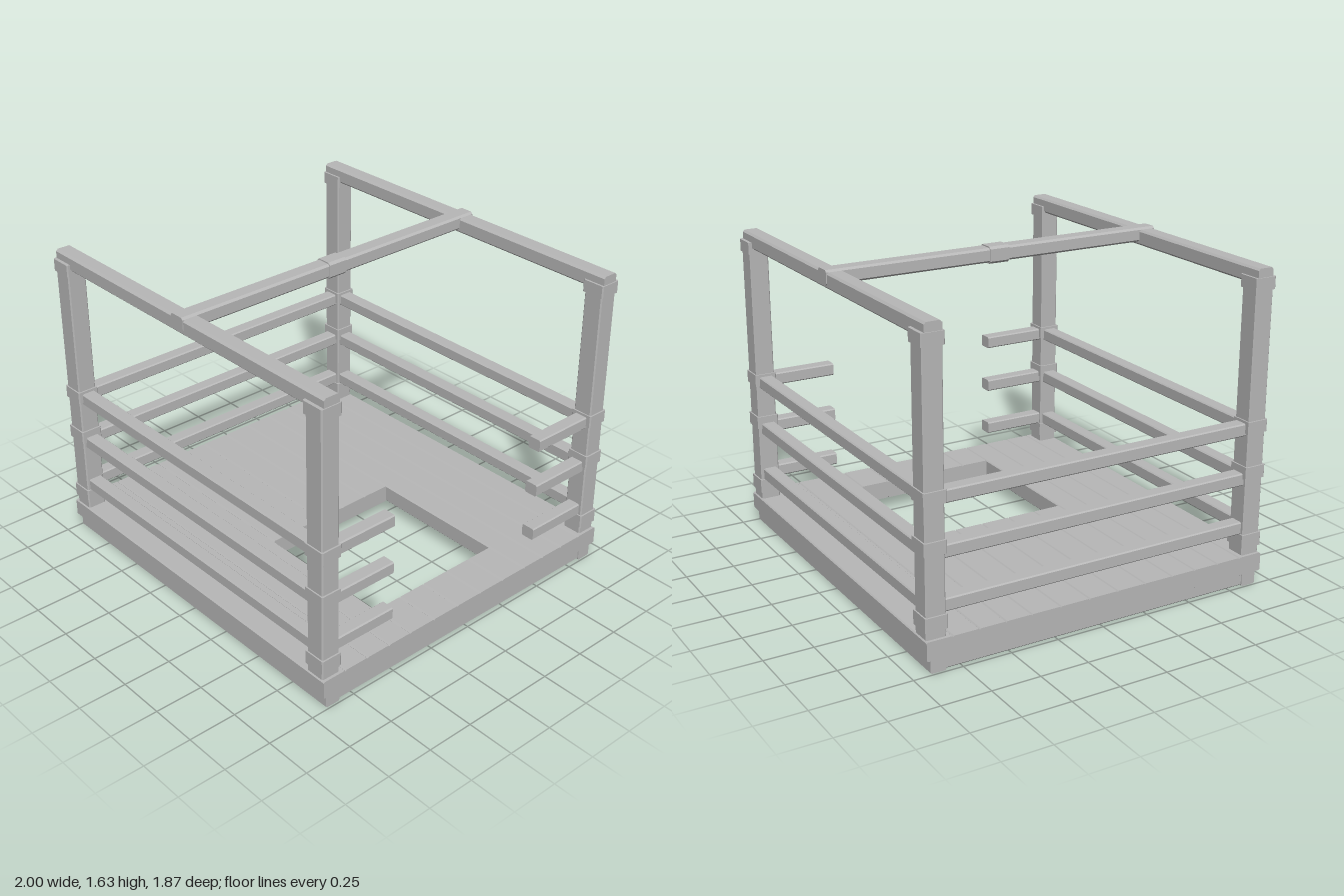
import * as THREE from 'three';

const wood = new THREE.MeshStandardMaterial({ color: 0xb8b8b8 });
wood.name = 'plain grey wood';

// Beam filling the box between two corners, long edges along the given axis chamfered by c
function beam(parent, name, [x0, y0, z0], [x1, y1, z1], axis, c = 0.006) {
  const size = [x1 - x0, y1 - y0, z1 - z0];
  const len = size[{ x: 0, y: 1, z: 2 }[axis]];
  const [w, h] = { x: [size[2], size[1]], y: [size[0], size[2]], z: [size[0], size[1]] }[axis];
  const a = w / 2, b = h / 2;
  const section = new THREE.Shape([
    [a - c, -b], [a, c - b], [a, b - c], [a - c, b],
    [c - a, b], [-a, b - c], [-a, c - b], [c - a, -b],
  ].map(([u, v]) => new THREE.Vector2(u, v)));
  const geo = new THREE.ExtrudeGeometry(section, { depth: len, bevelEnabled: false });
  geo.translate(0, 0, -len / 2);
  if (axis === 'x') geo.rotateY(Math.PI / 2);
  if (axis === 'y') geo.rotateX(Math.PI / 2);
  const mesh = new THREE.Mesh(geo, wood);
  mesh.name = name;
  mesh.position.set((x0 + x1) / 2, (y0 + y1) / 2, (z0 + z1) / 2);
  parent.add(mesh);
}

function group(parent, name) {
  const g = new THREE.Group();
  g.name = name;
  parent.add(g);
  return g;
}

export function createModel() {
  const model = new THREE.Group();
  model.name = 'woodenPlatform';

  // Low frame under the deck
  const base = group(model, 'baseFrame');
  for (const s of [-1, 1]) {
    const z = s * 0.87, x = s * 0.945;
    beam(base, 'baseBeam', [-0.99, 0, z - 0.04], [0.99, 0.075, z + 0.04], 'x');
    beam(base, 'baseSideBeam', [x - 0.04, 0.005, -0.83], [x + 0.04, 0.075, 0.83], 'z');
  }

  // Deck of thirteen planks, the middle five cut around a hatch
  const deck = group(model, 'deck');
  const edges = [0.932, 0.8, 0.664, 0.527, 0.392, 0.236, 0.079];
  const cuts = [...edges, ...edges.map((z) => -z).reverse()];
  for (let i = 0; i < cuts.length - 1; i++) {
    const spans = i >= 4 && i <= 8 ? [[-1, 0], [0.765, 1]] : [[-1, 1]];
    for (const [x0, x1] of spans) {
      beam(deck, 'deckPlank', [x0, 0.07, cuts[i + 1]], [x1, 0.165, cuts[i]], 'x');
    }
  }

  // Corner posts with bands at every joint
  const bands = [[0.205, 0.275], [0.565, 0.63], [0.8, 0.862], [1.505, 1.567]];
  for (const sx of [-1, 1]) {
    for (const sz of [-1, 1]) {
      const post = group(model, 'cornerPost');
      const x = sx * 0.9325, z = sz * 0.876;
      beam(post, 'post', [x - 0.0525, 0.15, z - 0.05], [x + 0.0525, 1.55, z + 0.05], 'y');
      for (const [y0, y1] of bands) {
        beam(post, 'postBand', [x - 0.061, y0, z - 0.057], [x + 0.061, y1, z + 0.057], 'y');
      }
    }
  }

  // Three rails on each side, with a doorway left open on the +x side
  const rails = group(model, 'rails');
  for (const y of [0.304, 0.561, 0.817]) {
    const y0 = y - 0.032, y1 = y + 0.032;
    for (const s of [-1, 1]) {
      const z = s * 0.875;
      beam(rails, 'longRail', [-0.9, y0, z - 0.036], [0.9, y1, z + 0.036], 'x');
      beam(rails, 'shortRail', [0.895, y0, s > 0 ? 0.48 : -0.85], [0.967, y1, s > 0 ? 0.85 : -0.48], 'z');
    }
    beam(rails, 'sideRail', [-0.967, y0, -0.85], [-0.895, y1, 0.85], 'z');
  }

  // Top beams, and the ridge beam joined by a sleeve in the middle
  const roof = group(model, 'topFrame');
  for (const s of [-1, 1]) {
    const z = s * 0.873;
    beam(roof, 'topBeam', [-0.988, 1.532, z - 0.043], [0.988, 1.612, z + 0.043], 'x', 0.01);
  }
  beam(roof, 'ridgeBeam', [-0.043, 1.55, -0.92], [0.043, 1.622, 0.92], 'z', 0.01);
  beam(roof, 'ridgeSleeve', [-0.046, 1.543, -0.053], [0.046, 1.628, 0.053], 'z', 0.012);

  return model;
}
